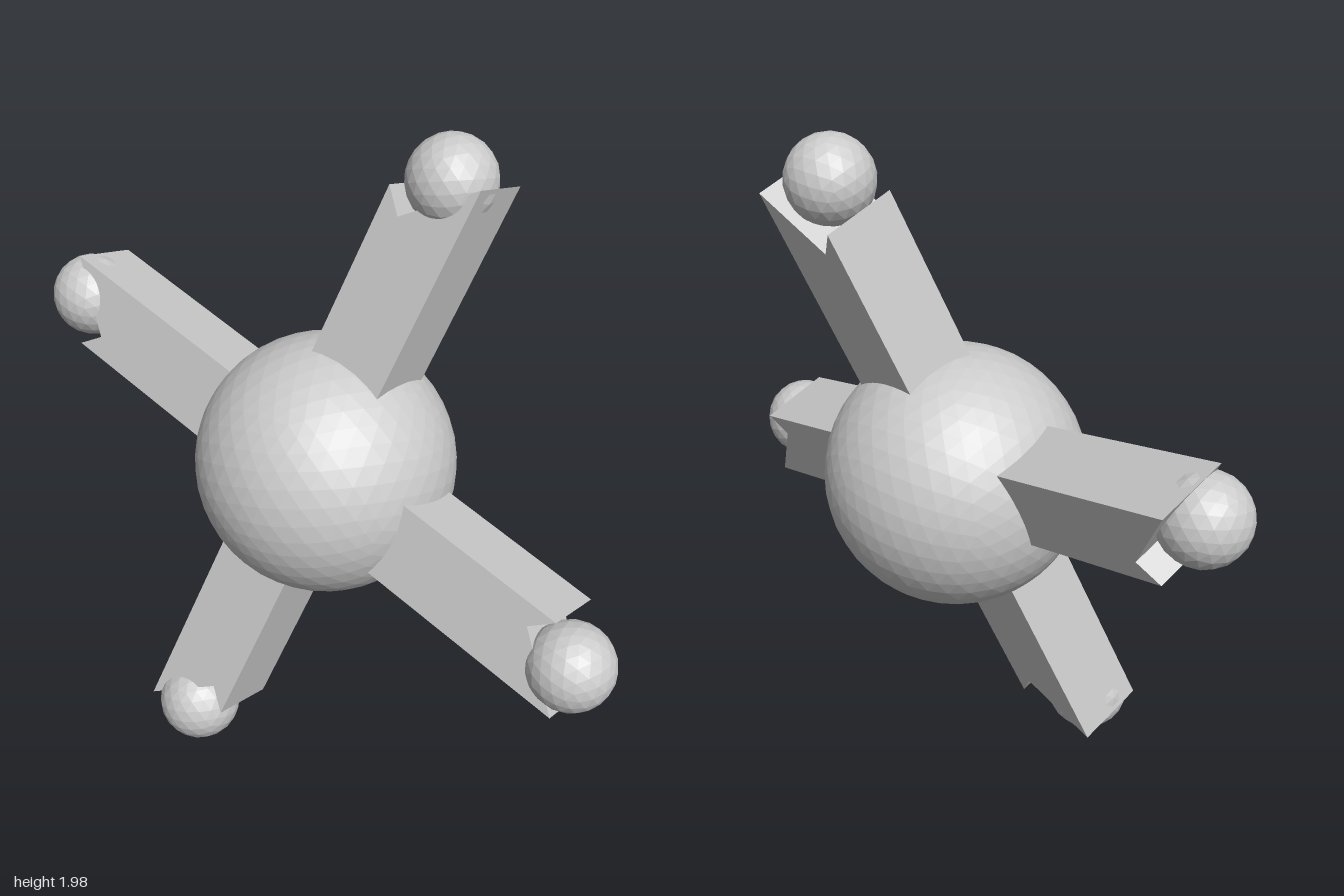
import * as THREE from 'three';

const mat = new THREE.MeshStandardMaterial({ color: 0xcccccc, flatShading: true });

function addMesh(parent, name, geometry) {
  const mesh = new THREE.Mesh(geometry, mat);
  mesh.name = name;
  parent.add(mesh);
  return mesh;
}

// Square bar whose outer end has an off-centre right-angled notch
function armGeometry() {
  const w = 0.122, notchX = -0.06, notchY = 0.805;
  const shape = new THREE.Shape([
    new THREE.Vector2(-w, 0.2),
    new THREE.Vector2(w, 0.2),
    new THREE.Vector2(w, notchY + (w - notchX)),
    new THREE.Vector2(notchX, notchY),
    new THREE.Vector2(-w, notchY + (notchX + w)),
  ]);
  const geo = new THREE.ExtrudeGeometry(shape, { depth: 0.226, bevelEnabled: false });
  return geo.translate(0, 0, -0.146);
}

export function createModel() {
  const model = new THREE.Group();
  model.name = 'fourArmedHub';

  // Tilted frame: local y runs along the first arm, local z is the cross's facing
  const cross = new THREE.Group();
  cross.name = 'cross';
  const up = new THREE.Vector3(0.305, 0.916, -0.263).normalize();
  const facing = new THREE.Vector3(-0.174, 0.323, 0.923);
  const side = new THREE.Vector3().crossVectors(up, facing).normalize();
  facing.crossVectors(side, up);
  cross.quaternion.setFromRotationMatrix(new THREE.Matrix4().makeBasis(side, up, facing));
  cross.position.set(0, 0.99, 0.03);
  model.add(cross);

  // Central ball, set slightly behind the plane of the arm tips
  addMesh(cross, 'hubBall', new THREE.IcosahedronGeometry(0.387, 7)).position.z = -0.066;

  // Four arms, each with a ball seated in its notch
  const armGeo = armGeometry();
  const ballGeo = new THREE.IcosahedronGeometry(0.127, 3);
  for (let i = 0; i < 4; i++) {
    const arm = new THREE.Group();
    arm.name = 'arm' + (i + 1);
    arm.rotation.z = (i * Math.PI) / 2;
    addMesh(arm, 'armBar', armGeo);
    addMesh(arm, 'tipBall', ballGeo).position.y = 0.945;
    cross.add(arm);
  }
  return model;
}
